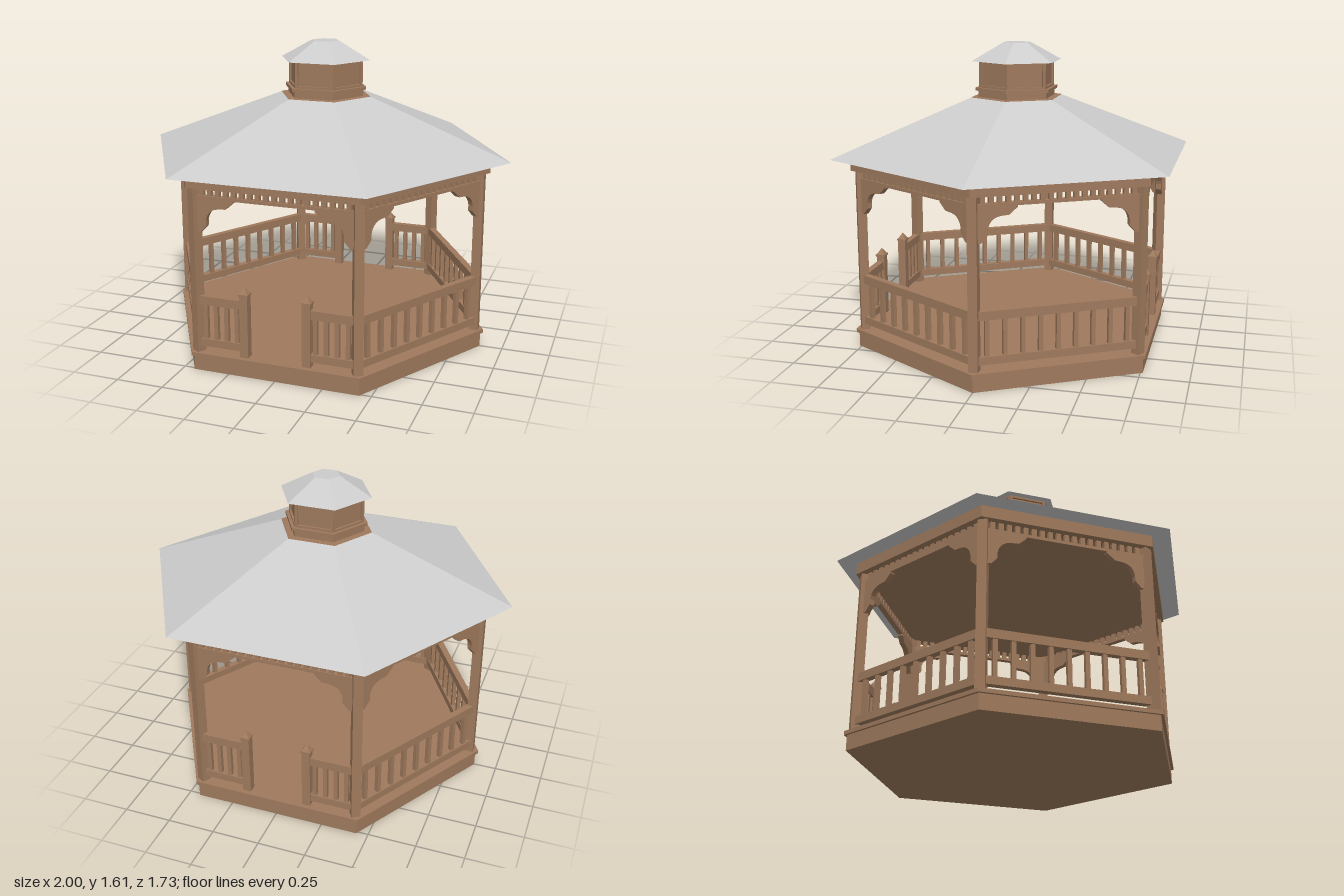
import * as THREE from 'three';

const wood = new THREE.MeshStandardMaterial({ color: 0x9f7a5d, flatShading: true });
const grey = new THREE.MeshStandardMaterial({ color: 0xcccccc, flatShading: true });

const POST_R = 0.845;                 // corner posts' distance from the centre
const BAY_X = POST_R / 2;             // half the length of one bay
const BAY_Z = POST_R * Math.sqrt(3) / 2; // bay's distance from the centre

function add(parent, name, geometry, x, y, z, material = wood) {
  const mesh = new THREE.Mesh(geometry, material);
  mesh.name = name;
  mesh.position.set(x, y, z);
  parent.add(mesh);
  return mesh;
}

// Box given by its x range and y range, centred on z
function bar(parent, name, x0, x1, y0, y1, depth, z = BAY_Z) {
  return add(parent, name, new THREE.BoxGeometry(x1 - x0, y1 - y0, depth), (x0 + x1) / 2, (y0 + y1) / 2, z);
}

// Six-sided prism or frustum with corners on the x axis
function hex(parent, name, rBottom, rTop, y0, y1, material = wood) {
  const g = new THREE.CylinderGeometry(rTop, rBottom, y1 - y0, 6, 1, false, Math.PI / 6);
  return add(parent, name, g, 0, (y0 + y1) / 2, 0, material);
}

// Curved corner bracket, from the post outward and down
function bracketGeometry() {
  const s = new THREE.Shape();
  s.moveTo(-0.02, 0);
  s.lineTo(-0.02, -0.175);
  s.lineTo(0.008, -0.175);
  s.lineTo(0.04, -0.14);
  s.lineTo(0.04, -0.11);
  s.quadraticCurveTo(0.05, -0.055, 0.105, -0.048);
  s.lineTo(0.145, -0.045);
  s.lineTo(0.185, -0.01);
  s.lineTo(0.185, 0);
  s.closePath();
  const g = new THREE.ExtrudeGeometry(s, { depth: 0.03, bevelEnabled: false, curveSegments: 5 });
  return g.translate(0, 0, -0.015);
}

// Rails with balusters between x0 and x1
function railing(parent, x0, x1, count) {
  const g = new THREE.Group();
  g.name = 'railing';
  bar(g, 'topRail', x0, x1, 0.355, 0.4, 0.035);
  bar(g, 'bottomRail', x0, x1, 0.13, 0.17, 0.035);
  const step = (x1 - x0) / count;
  for (let i = 0; i < count; i++) {
    const x = x0 + step * (i + 0.5);
    bar(g, 'baluster', x - 0.011, x + 0.011, 0.165, 0.36, 0.022);
  }
  parent.add(g);
}

// Gate post with a pointed cap
function newel(parent, x) {
  const g = new THREE.Group();
  g.name = 'gatePost';
  bar(g, 'shaft', x - 0.022, x + 0.022, 0.1, 0.43, 0.044);
  bar(g, 'capPlate', x - 0.026, x + 0.026, 0.428, 0.438, 0.052);
  const tip = new THREE.CylinderGeometry(0, 0.022 * Math.SQRT2, 0.034, 4, 1, false, Math.PI / 4);
  add(g, 'capPoint', tip, x, 0.455, BAY_Z);
  parent.add(g);
}

function createBay(open, bracket) {
  const bay = new THREE.Group();
  bay.name = open ? 'entranceBay' : 'railedBay';

  // Corner post, turned to face outward
  const post = bar(bay, 'cornerPost', BAY_X - 0.024, BAY_X + 0.024, 0.095, 0.97, 0.048);
  post.rotation.y = Math.PI / 6;

  // Frieze of small blocks under the beam
  bar(bay, 'friezeRail', -0.405, 0.405, 0.908, 0.924, 0.03);
  const blocks = 19;
  for (let i = 0; i < blocks; i++) {
    const x = (i - (blocks - 1) / 2) * 0.042;
    bar(bay, 'friezeBlock', x - 0.012, x + 0.012, 0.92, 0.968, 0.022);
  }

  // Mirrored brackets
  add(bay, 'bracket', bracket, -0.395, 0.91, BAY_Z);
  add(bay, 'bracket', bracket, 0.395, 0.91, BAY_Z).rotation.y = Math.PI;

  if (open) {
    railing(bay, -0.405, -0.18, 4);
    railing(bay, 0.18, 0.405, 4);
    newel(bay, -0.165);
    newel(bay, 0.165);
  } else {
    railing(bay, -0.405, 0.405, 9);
  }
  return bay;
}

function createCupola() {
  const c = new THREE.Group();
  c.name = 'cupola';
  hex(c, 'cupolaBase', 0.21, 0.21, 1.32, 1.358);
  hex(c, 'cupolaLedge', 0.226, 0.226, 1.356, 1.372);
  hex(c, 'cupolaWalls', 0.194, 0.194, 1.37, 1.51);
  hex(c, 'cupolaSill', 0.207, 0.207, 1.37, 1.384);
  hex(c, 'cupolaHead', 0.207, 0.207, 1.498, 1.512);
  // Upright frame strips at both edges of each face
  for (let i = 0; i < 6; i++) {
    const face = new THREE.Group();
    face.name = 'cupolaFace';
    face.rotation.y = i * Math.PI / 3;
    for (const s of [-1, 1]) {
      const x = s * 0.0955;
      bar(face, 'cupolaStile', x - 0.0075, x + 0.0075, 1.38, 1.5, 0.014, 0.172);
    }
    c.add(face);
  }
  hex(c, 'cupolaRoof', 0.247, 0.075, 1.51, 1.605, grey);
  return c;
}

export function createModel() {
  const model = new THREE.Group();
  model.name = 'gazebo';

  // Floor
  hex(model, 'floorBase', 0.88, 0.88, 0, 0.08);
  hex(model, 'floorDeck', 0.895, 0.895, 0.078, 0.098);

  // Six bays, open at front and back
  const bracket = bracketGeometry();
  for (let i = 0; i < 6; i++) {
    const bay = createBay(i % 3 === 0, bracket);
    bay.rotation.y = i * Math.PI / 3;
    model.add(bay);
  }

  // Beam with ceiling, main roof and its top
  hex(model, 'beamAndCeiling', 0.895, 0.895, 0.963, 1.027);
  hex(model, 'mainRoof', 1, 0.25, 1.025, 1.32, grey);
  hex(model, 'roofTop', 0.25, 0.249, 1.319, 1.322);
  model.add(createCupola());
  return model;
}
